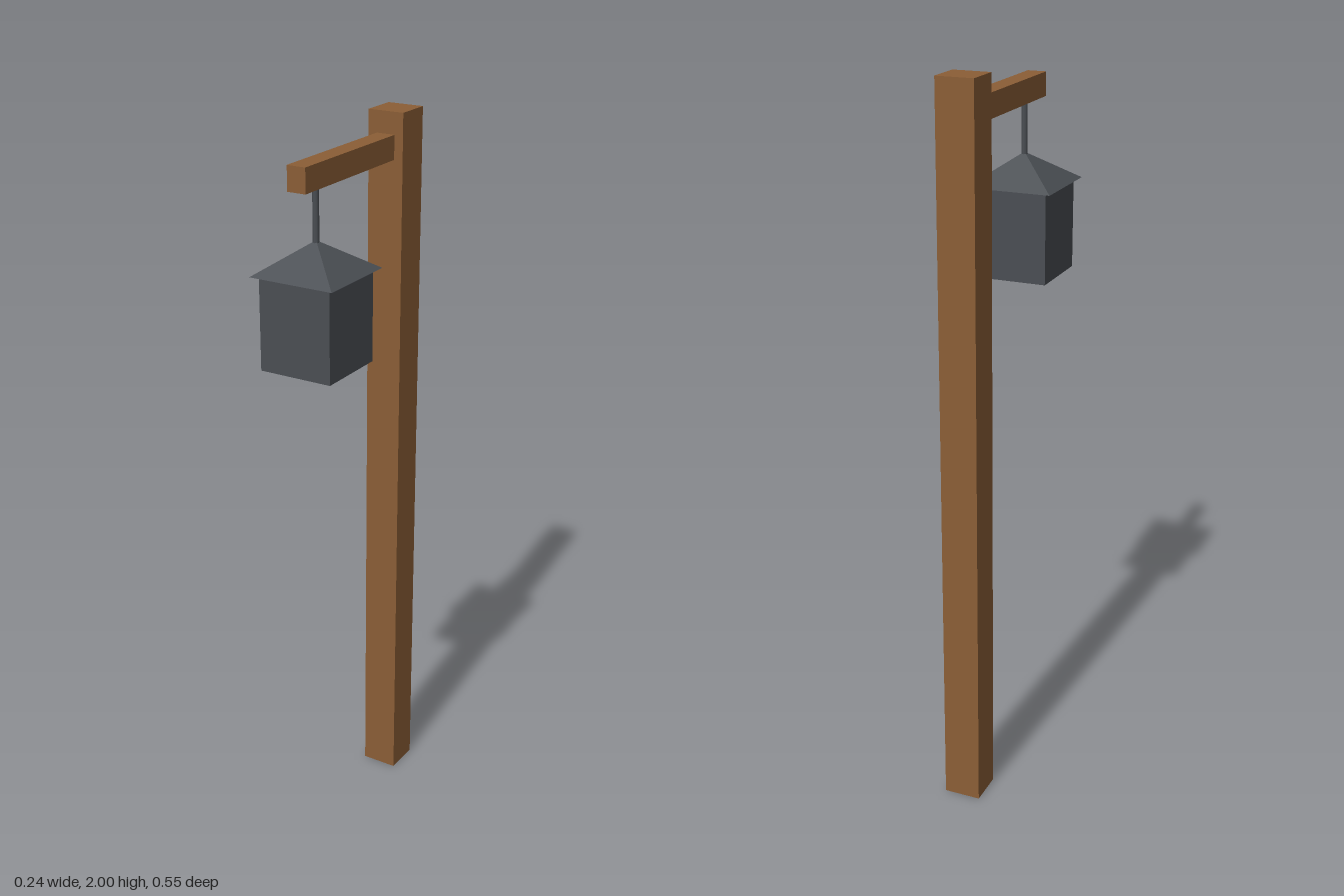
import * as THREE from 'three';

export function createModel() {
  const model = new THREE.Group();
  model.name = 'lanternPost';

  const wood = new THREE.MeshStandardMaterial({ color: 0x8b5e36 });
  wood.name = 'brown wood';
  const iron = new THREE.MeshStandardMaterial({ color: 0x4a4e53 });
  iron.name = 'dark iron';

  const add = (parent, name, geometry, material, x, y, z) => {
    const mesh = new THREE.Mesh(geometry, material);
    mesh.name = name;
    mesh.position.set(x, y, z);
    parent.add(mesh);
    return mesh;
  };

  // Upright post and the arm reaching forward from it
  add(model, 'post', new THREE.BoxGeometry(0.102, 2, 0.102), wood, 0, 1, -0.227);
  add(model, 'arm', new THREE.BoxGeometry(0.052, 0.064, 0.418), wood, 0, 1.91, 0.032);

  // Hanging lantern: rod, pyramid roof with overhang, box body
  const lantern = new THREE.Group();
  lantern.name = 'lantern';
  lantern.position.z = 0.157;
  model.add(lantern);

  add(lantern, 'rod', new THREE.CylinderGeometry(0.0085, 0.0085, 0.15, 8), iron, 0, 1.805, 0);

  const roof = new THREE.ConeGeometry(0.119 * Math.SQRT2, 0.082, 4).rotateY(Math.PI / 4).toNonIndexed();
  roof.computeVertexNormals(); // flat faces
  add(lantern, 'roof', roof, iron, 0, 1.703, 0);

  add(lantern, 'body', new THREE.BoxGeometry(0.204, 0.245, 0.204), iron, 0, 1.5395, 0);

  return model;
}
